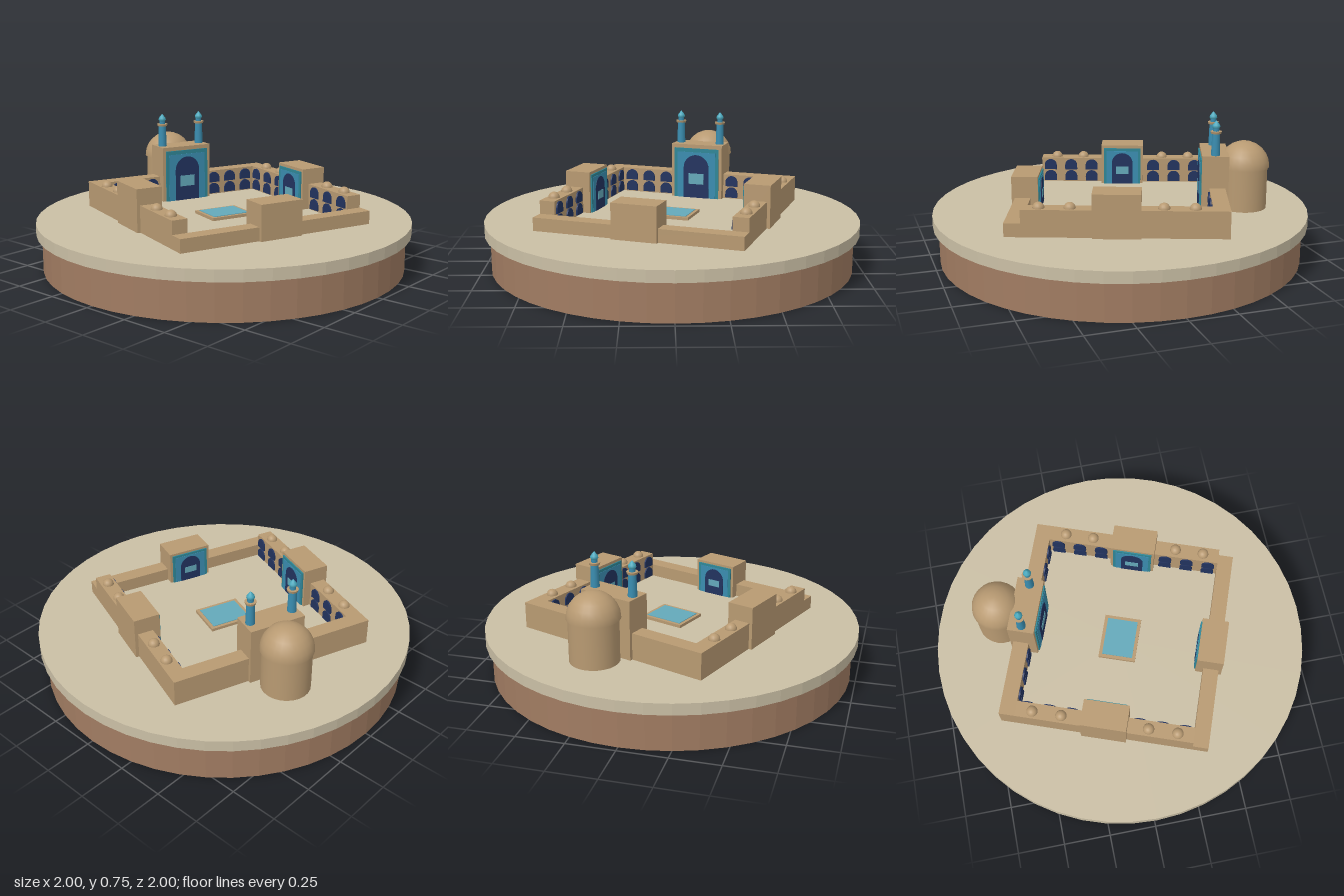
import * as THREE from 'three';

const material = (name, color) => {
  const m = new THREE.MeshStandardMaterial({ color });
  m.name = name;
  return m;
};

export function createModel() {
  const sand = material('sandstone', 0xb89a72);
  const paving = material('pale paving', 0xcabfa5);
  const earth = material('brown earth', 0xa17c62);
  const navy = material('navy recess', 0x22335f);
  const tile = material('blue tile', 0x3a8db0);
  const frameTeal = material('teal frame', 0x2f8797);
  const water = material('pale water blue', 0x64a9ba);
  const finial = material('light turquoise', 0x4aa9be);

  const GROUND = 0.26;
  const model = new THREE.Group();
  model.name = 'courtyardComplex';

  const add = (parent, name, geometry, mat, x = 0, y = 0, z = 0) => {
    const mesh = new THREE.Mesh(geometry, mat);
    mesh.name = name;
    mesh.position.set(x, y, z);
    parent.add(mesh);
    return mesh;
  };
  // Box standing on height y
  const block = (parent, name, mat, w, h, d, x, y, z) =>
    add(parent, name, new THREE.BoxGeometry(w, h, d), mat, x, y + h / 2, z);

  // Thin arched plate standing on y = 0 and facing +z
  const archPlate = (w, h, depth) => {
    const r = w / 2;
    const s = new THREE.Shape();
    s.moveTo(-r, 0);
    s.lineTo(r, 0);
    s.lineTo(r, h - r);
    s.absarc(0, h - r, r, 0, Math.PI, false);
    s.lineTo(-r, 0);
    return new THREE.ExtrudeGeometry(s, { depth, bevelEnabled: false, curveSegments: 8 });
  };

  const hemisphere = (r, seg, rings) =>
    new THREE.SphereGeometry(r, seg, rings, 0, Math.PI * 2, 0, Math.PI / 2);

  // Round plinth
  const disc = (r, h) => new THREE.CylinderGeometry(r, r, h, 48).toNonIndexed();
  const flat = (g) => { g.computeVertexNormals(); return g; };
  add(model, 'plinthBase', flat(disc(0.97, 0.2)), earth, 0, 0.1, 0);
  add(model, 'plinthTop', flat(disc(1, 0.06)), paving, 0, 0.23, 0);

  // Everything on the plinth is turned by 20 degrees
  const court = new THREE.Group();
  court.name = 'courtyard';
  court.position.y = GROUND;
  court.rotation.y = -Math.PI / 9;
  model.add(court);

  // Portal block with tiled, arched front
  const portal = (parent, w, h) => {
    const g = new THREE.Group();
    g.name = 'portal';
    g.position.z = -0.5;
    parent.add(g);
    block(g, 'portalBlock', sand, w, h, 0.14, 0, 0, 0);
    block(g, 'portalFrame', frameTeal, w * 0.88, h * 0.93, 0.007, 0, 0, 0.0735);
    block(g, 'portalTile', tile, w * 0.76, h * 0.86, 0.002, 0, 0, 0.078);
    add(g, 'portalArch', archPlate(w * 0.5, h * 0.81, 0.002), navy, 0, 0, 0.079);
    block(g, 'portalDoorPanel', water, w * 0.3, h * 0.2, 0.002, 0, h * 0.26, 0.082);
  };

  // One range per side, built along the back and turned into place
  const sides = [
    { name: 'backRange', turn: 0, length: 1.106, wall: 0.14, w: 0.3, h: 0.31, bays: [0.2, 0.307, 0.414] },
    { name: 'rightRange', turn: Math.PI / 2, length: 0.94, wall: 0.14, w: 0.24, h: 0.225, bays: [0.18, 0.3, 0.42], domes: [0.23, 0.383] },
    { name: 'frontRange', turn: Math.PI, length: 1.106, wall: 0.07, w: 0.24, h: 0.185, bays: [] },
    { name: 'leftRange', turn: -Math.PI / 2, length: 0.94, wall: 0.14, w: 0.24, h: 0.225, bays: [0.18, 0.3, 0.42], domes: [0.23, 0.383] },
  ];
  const bayArch = archPlate(0.07, 0.06, 0.008);
  const smallDome = hemisphere(0.03, 16, 6);
  for (const side of sides) {
    const g = new THREE.Group();
    g.name = side.name;
    g.rotation.y = side.turn;
    court.add(g);
    block(g, 'wall', sand, side.length, side.wall, 0.083, 0, 0, -0.5115);
    portal(g, side.w, side.h);
    for (const s of [-1, 1]) {
      // Two tiers of arched niches
      for (const x of side.bays) {
        add(g, 'lowerNiche', bayArch, navy, s * x, 0.006, -0.47);
        add(g, 'upperNiche', bayArch, navy, s * x, 0.072, -0.47);
      }
      for (const x of side.domes ?? []) add(g, 'roofDome', smallDome, sand, s * x, 0.14, -0.514);
    }
  }

  // Great dome behind the tall portal
  add(court, 'domeDrum', new THREE.CylinderGeometry(0.126, 0.126, 0.225, 24), sand, 0, 0.1125, -0.66);
  const dome = add(court, 'greatDome', hemisphere(0.135, 24, 6), sand, 0, 0.225, -0.66);
  dome.material = sand;
  const rim = add(court, 'domeRim', new THREE.RingGeometry(0.12, 0.135, 24), sand, 0, 0.225, -0.66);
  rim.rotation.x = Math.PI / 2;

  // Pair of minarets on the tall portal
  const capProfile = [[0.015, 0], [0.021, 0.008], [0.019, 0.018], [0.01, 0.03], [0, 0.042]]
    .map(([x, y]) => new THREE.Vector2(x, y));
  for (const s of [-1, 1]) {
    const m = new THREE.Group();
    m.name = 'minaret';
    m.position.set(s * 0.117, 0.31, -0.5);
    court.add(m);
    add(m, 'minaretShaft', new THREE.CylinderGeometry(0.02, 0.024, 0.118, 12), tile, 0, 0.059, 0);
    add(m, 'minaretBalcony', new THREE.CylinderGeometry(0.03, 0.027, 0.012, 12), sand, 0, 0.122, 0);
    add(m, 'minaretLantern', new THREE.CylinderGeometry(0.016, 0.016, 0.02, 12), tile, 0, 0.136, 0);
    add(m, 'minaretCap', new THREE.LatheGeometry(capProfile, 12), finial, 0, 0.143, 0);
  }

  // Pool in the middle
  block(court, 'poolRim', sand, 0.245, 0.016, 0.2, 0, 0, 0);
  block(court, 'poolWater', water, 0.21, 0.003, 0.165, 0, 0.016, 0);

  return model;
}
